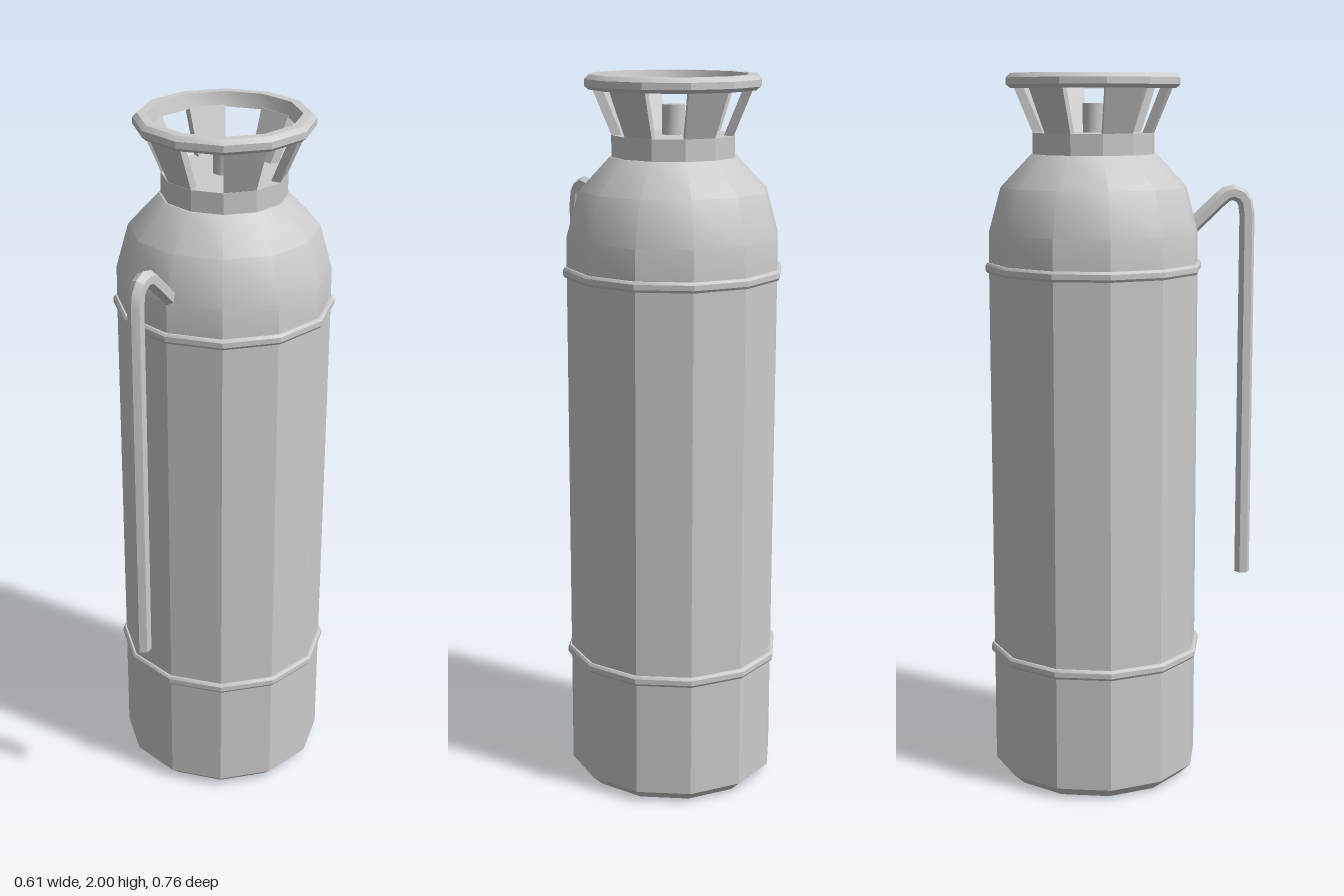
import * as THREE from 'three';
import { toCreasedNormals } from 'three/addons/utils/BufferGeometryUtils.js';

const SIDES = 12;
const CREASE = 0.51; // just under the 30 degree facet angle, so the walls stay faceted
const material = new THREE.MeshStandardMaterial({ color: 0xcccccc });

function addMesh(parent, name, geometry) {
  const mesh = new THREE.Mesh(toCreasedNormals(geometry, CREASE), material);
  mesh.name = name;
  parent.add(mesh);
  return mesh;
}

// Twelve-sided turned part from [radius, height] pairs
function lathe(profile) {
  return new THREE.LatheGeometry(profile.map(([r, y]) => new THREE.Vector2(r, y)), SIDES);
}

// Slanted guard post: a box bent onto one facet of a cone
function postGeometry(phi) {
  const geometry = new THREE.BoxGeometry(1, 1, 1);
  const pos = geometry.attributes.position;
  for (let i = 0; i < pos.count; i++) {
    const top = pos.getY(i) > 0, outer = pos.getZ(i) > 0;
    const radius = (top ? 0.195 : 0.14) + (outer ? 0.027 : 0);
    const angle = phi + pos.getX(i) * (Math.PI / 6);
    pos.setXYZ(i, radius * Math.sin(angle), top ? 1.965 : 1.835, radius * Math.cos(angle));
  }
  return geometry;
}

export function createModel() {
  const model = new THREE.Group();
  model.name = 'extinguisher';

  // Everything turned shares an axis set back to leave room for the hose
  const tank = new THREE.Group();
  tank.name = 'tank';
  tank.position.z = -0.077;
  model.add(tank);

  // Cylinder with chamfered foot and domed shoulder
  addMesh(tank, 'body', lathe([
    [0, 0], [0.263, 0], [0.295, 0.03], [0.295, 1.47],
    [0.294, 1.57], [0.26, 1.693], [0.175, 1.782], [0, 1.782],
  ]));

  // Bands around the body
  for (const [name, y] of [['lowerBand', 0.37], ['upperBand', 1.472]]) {
    addMesh(tank, name, lathe([
      [0.285, y - 0.014], [0.3, y - 0.014], [0.305, y - 0.007],
      [0.305, y + 0.007], [0.3, y + 0.014], [0.285, y + 0.014],
    ]));
  }

  // Neck collar and valve stem
  addMesh(tank, 'collar', lathe([[0.17, 1.77], [0.17, 1.84], [0, 1.84]]));
  const stem = addMesh(tank, 'valveStem', new THREE.CylinderGeometry(0.031, 0.031, 0.09, 16));
  stem.geometry.computeBoundingSphere();
  stem.position.y = 1.875;

  // Valve guard: six posts on alternate facets, carrying a rim
  const guard = new THREE.Group();
  guard.name = 'valveGuard';
  tank.add(guard);
  for (let i = 0; i < 6; i++) {
    addMesh(guard, 'guardPost', postGeometry(-Math.PI / 12 + (i * Math.PI) / 3));
  }
  addMesh(guard, 'guardRim', lathe([
    [0.195, 1.96], [0.23, 1.96], [0.242, 1.97], [0.242, 1.988],
    [0.23, 2], [0.205, 2], [0.195, 1.96],
  ]));

  // Hose: six-sided pipe leaving the shoulder, bending over and hanging down
  const points = [
    [1.555, 0.175], [1.65, 0.276], [1.668, 0.298], [1.673, 0.318],
    [1.664, 0.341], [1.645, 0.354], [1.61, 0.359], [0.565, 0.359],
  ].map(([y, z]) => new THREE.Vector3(0, y, z));
  const path = new THREE.CurvePath();
  for (let i = 1; i < points.length; i++) path.add(new THREE.LineCurve3(points[i - 1], points[i]));

  // Cross-sections mitred at each bend, skinned with quads and capped at both ends
  const rings = points.map((p, i) => {
    const a = points[Math.max(i - 1, 0)], b = points[Math.min(i + 1, points.length - 1)];
    const dir = b.clone().sub(a).normalize();
    const out = new THREE.Vector3(0, dir.z, -dir.y); // in the bend plane, away from the tank
    return Array.from({ length: 6 }, (_, k) => {
      const t = (k * Math.PI) / 3;
      return p.clone().addScaledVector(out, 0.022 * Math.cos(t))
        .add(new THREE.Vector3(0.022 * Math.sin(t), 0, 0));
    });
  });
  const verts = [];
  const tri = (...corners) => corners.forEach((c) => verts.push(c.x, c.y, c.z));
  const last = rings.length - 1;
  for (let k = 0; k < 6; k++) {
    const n = (k + 1) % 6;
    for (let i = 0; i < last; i++) {
      const [a, b, c, d] = [rings[i][k], rings[i][n], rings[i + 1][n], rings[i + 1][k]];
      tri(a, c, b);
      tri(a, d, c);
    }
    tri(points[0], rings[0][k], rings[0][n]);
    tri(points[last], rings[last][n], rings[last][k]);
  }
  const hose = new THREE.BufferGeometry();
  hose.setAttribute('position', new THREE.Float32BufferAttribute(verts, 3));
  addMesh(model, 'hose', hose);

  return model;
}
